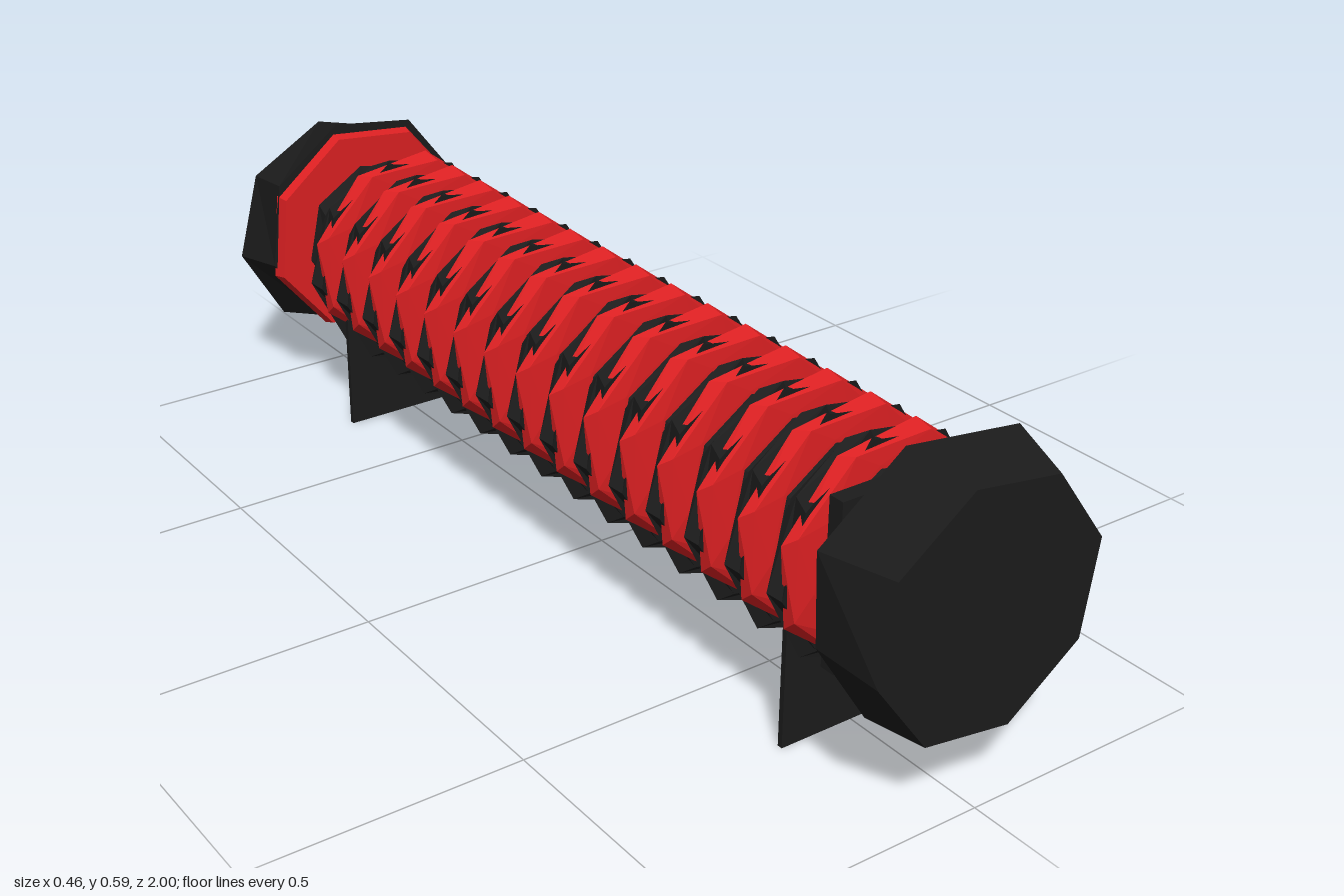
import * as THREE from 'three';

const black = new THREE.MeshStandardMaterial({ color: 0x1c1c1c });
black.name = 'charcoal black';
const red = new THREE.MeshStandardMaterial({ color: 0xdc2022 });
red.name = 'bright red';

// Faceted solid through octagonal sections, ordered from back to front.
// Each section: z, radius, centre height y, rotation in degrees,
// tilt of z with height and lean of z with x; or an explicit outline of x, y corners.
function loft(sections, sides = 8) {
  const rings = sections.map(({ z, r, y = 0.355, rot = 12, tilt = 0, lean = 0, outline }) => {
    const pts = [];
    for (let i = 0; i < sides; i++) {
      const a = THREE.MathUtils.degToRad(rot) + (i / sides) * Math.PI * 2;
      const [px, py] = outline ? outline[i] : [r * Math.cos(a), y + r * Math.sin(a)];
      pts.push([px, py, z + tilt * (py - y) + lean * px]);
    }
    return pts;
  });
  const pos = [];
  const tri = (a, b, c) => pos.push(...a, ...b, ...c);
  const first = rings[0], last = rings[rings.length - 1];
  for (let k = 0; k < rings.length - 1; k++) {
    for (let i = 0; i < sides; i++) {
      const j = (i + 1) % sides, lo = rings[k], hi = rings[k + 1];
      tri(lo[i], lo[j], hi[j]);
      tri(lo[i], hi[j], hi[i]);
    }
  }
  for (let i = 1; i < sides - 1; i++) {
    tri(last[0], last[i], last[i + 1]);
    tri(first[0], first[i + 1], first[i]);
  }
  const geo = new THREE.BufferGeometry();
  geo.setAttribute('position', new THREE.Float32BufferAttribute(pos, 3));
  geo.computeVertexNormals();
  return geo;
}

export function createModel() {
  const group = new THREE.Group();
  const add = (name, geo, mat, x = 0, y = 0, z = 0) => {
    const mesh = new THREE.Mesh(geo, mat);
    mesh.name = name;
    mesh.position.set(x, y, z);
    group.add(mesh);
  };

  // End caps: irregular octagonal blocks
  add('frontCap', loft([
    { z: 0.853, tilt: -0.03, outline: [
      [0.212, 0.42], [0.183, 0.545], [-0.05, 0.575], [-0.215, 0.455],
      [-0.212, 0.29], [-0.11, 0.13], [0.035, 0.087], [0.218, 0.245]] },
    { z: 1, r: 0.226, y: 0.352, rot: 14 },
  ]), black);
  add('backCap', loft([
    { z: -0.995, r: 0.23, y: 0.325, rot: 8, tilt: 0.02 },
    { z: -0.864, r: 0.224, y: 0.37, rot: 15 },
  ]), black);
  add('backCapFace', loft([
    { z: -0.87, r: 0.224, y: 0.354, rot: 17 },
    { z: -0.844, r: 0.216, y: 0.354, rot: 17 },
  ]), red);

  // Necks between the caps and the coil
  add('frontNeck', new THREE.BoxGeometry(0.3, 0.3, 0.03), black, 0.005, 0.35, 0.808);
  add('backNeck', loft([
    { z: -0.825, r: 0.155, y: 0.35, rot: 10 },
    { z: -0.75, r: 0.15, y: 0.34, rot: 18 },
  ]), black);

  // Coil: repeated black discs, each with a slanted, twisted red rim and front face
  const disc = loft([
    { z: -0.037, r: 0.155 },
    { z: -0.03, r: 0.185, rot: 16 },
    { z: -0.014, r: 0.207, y: 0.336, rot: 4 },
    { z: 0.008, r: 0.2, rot: 12, tilt: 0.09, lean: -0.03 },
  ]);
  const face = loft([
    { z: 0, r: 0.207, y: 0.357, rot: 30, tilt: 0.06, lean: -0.02 },
    { z: 0.024, r: 0.196, rot: 24, tilt: 0.03 },
    { z: 0.032, r: 0.155 },
  ]);
  const hub = loft([{ z: 0.028, r: 0.152 }, { z: 0.037, r: 0.145 }]);
  const count = 15;
  for (let i = 0; i < count; i++) {
    const z = 0.745 - i * 0.1038;
    add('coilDisc' + i, disc, black, 0, 0, z);
    add('coilFace' + i, face, red, 0, 0, z);
    add('coilHub' + i, hub, black, 0, 0, z);
  }

  // Support plates
  for (const [name, z] of [['frontSupport', 0.705], ['backSupport', -0.7]]) {
    add(name, new THREE.BoxGeometry(0.295, 0.44, 0.01), black, 0.003, 0.22, z);
  }
  return group;
}
